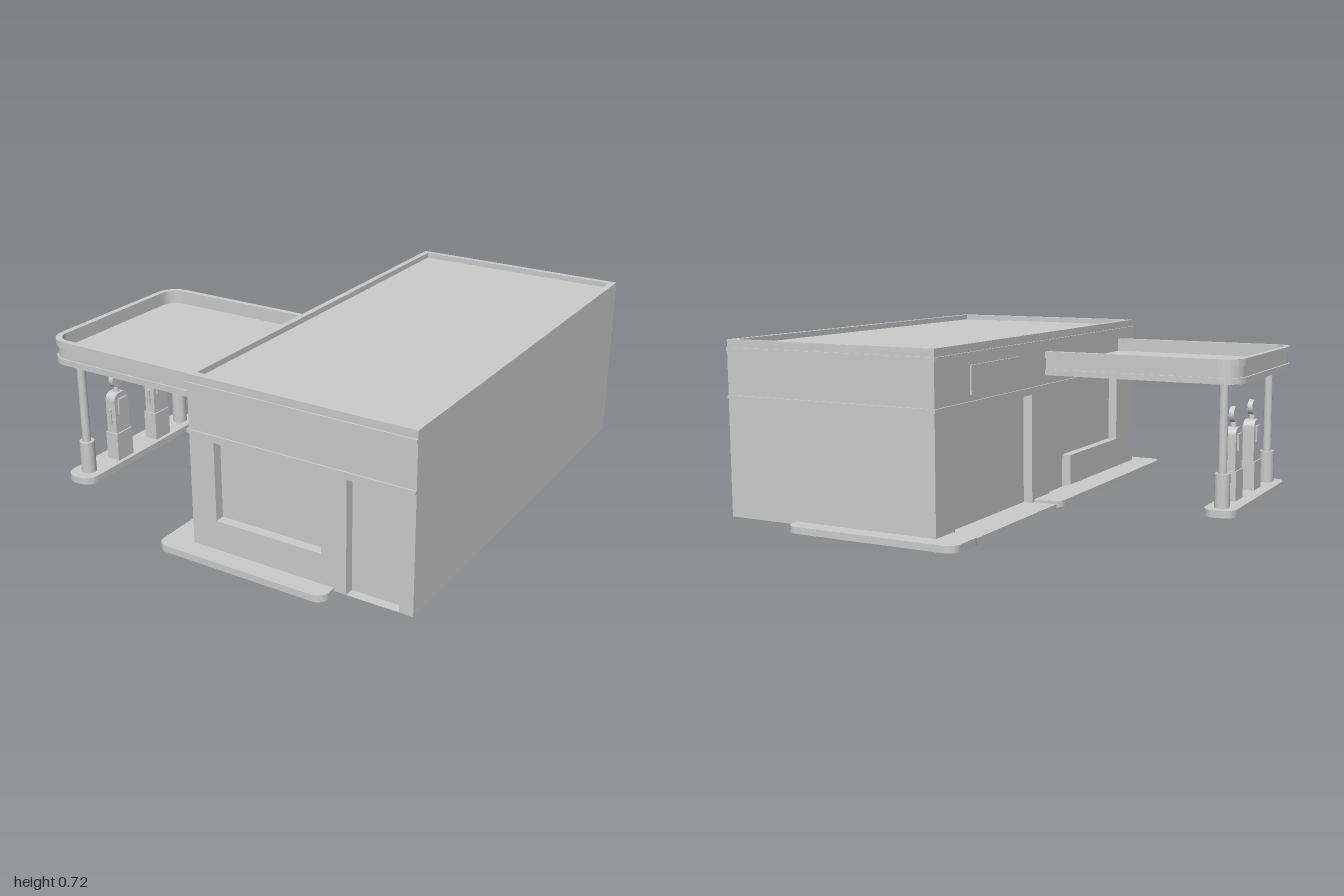
import * as THREE from 'three';

const grey = new THREE.MeshStandardMaterial({ color: 0xcccccc, side: THREE.DoubleSide });

function add(parent, name, geometry, x = 0, y = 0, z = 0) {
  const mesh = new THREE.Mesh(geometry, grey);
  mesh.name = name;
  mesh.position.set(x, y, z);
  parent.add(mesh);
  return mesh;
}

// Closed shape from [a, b, cornerRadius] points
function roundedShape(points) {
  const shape = new THREE.Shape();
  const n = points.length;
  points.forEach(([a, b, r = 0], i) => {
    const p = new THREE.Vector2(a, b);
    const towards = (q) => new THREE.Vector2(q[0], q[1]).sub(p).setLength(r).add(p);
    const start = r ? towards(points[(i + n - 1) % n]) : p;
    if (i === 0) shape.moveTo(start.x, start.y);
    else shape.lineTo(start.x, start.y);
    if (r) {
      const end = towards(points[(i + 1) % n]);
      // cubic approximation of a quarter circle
      const c1 = start.clone().lerp(p, 0.5523), c2 = end.clone().lerp(p, 0.5523);
      shape.bezierCurveTo(c1.x, c1.y, c2.x, c2.y, end.x, end.y);
    }
  });
  shape.closePath();
  return shape;
}

// Horizontal slab whose outline is given in x and z
function slab(points, y0, y1) {
  const g = new THREE.ExtrudeGeometry(roundedShape(points), { depth: y1 - y0, bevelEnabled: false, curveSegments: 8 });
  return g.rotateX(Math.PI / 2).translate(0, y1, 0);
}

// U-shaped outline, open towards +x
function uOutline(x0, x1, z0, z1, t, r = 0) {
  const ri = Math.max(r - t, 0);
  return [[x1, z0], [x0, z0, r], [x0, z1, r], [x1, z1],
    [x1, z1 - t], [x0 + t, z1 - t, ri], [x0 + t, z0 + t, ri], [x1, z0 + t]];
}

// Flat wall facing local +z, with openings set back into recesses
const WALL = { bottom: 0.015, top: 0.72 };
const RECESS = 0.04;
function makeWall(name, u0, u1, openings = []) {
  const wall = new THREE.Group();
  wall.name = name;
  const outline = [[u0, WALL.top], [u0, WALL.bottom]];
  const holes = [];
  for (const o of openings) {
    // openings that start and end at floor level notch the bottom edge
    if (o.door) outline.push(...o.points);
    else holes.push(new THREE.Path(o.points.map(([a, b]) => new THREE.Vector2(a, b))));
  }
  outline.push([u1, WALL.bottom], [u1, WALL.top]);
  const shape = roundedShape(outline);
  shape.holes = holes;
  add(wall, name + 'Surface', new THREE.ShapeGeometry(shape));
  for (const o of openings) {
    add(wall, o.name, new THREE.ShapeGeometry(roundedShape(o.points)), 0, 0, -RECESS);
    const pos = [];
    o.points.forEach(([a, b], i) => {
      const [c, d] = o.points[(i + 1) % o.points.length];
      pos.push(a, b, 0, c, d, 0, c, d, -RECESS, a, b, 0, c, d, -RECESS, a, b, -RECESS);
    });
    const jamb = new THREE.BufferGeometry();
    jamb.setAttribute('position', new THREE.Float32BufferAttribute(pos, 3));
    jamb.computeVertexNormals();
    add(wall, o.name + 'Jamb', jamb);
  }
  return wall;
}

const rect = (a0, a1, b0, b1) => [[a0, b0], [a0, b1], [a1, b1], [a1, b0]];

function makeBuilding() {
  const b = new THREE.Group();
  b.name = 'building';
  const X0 = -0.05, X1 = 0.895, Z0 = -0.925, Z1 = 0.92, f = WALL.bottom;

  const front = makeWall('frontWall', X0, X1, [
    { name: 'frontWindow', points: rect(0.06, 0.52, 0.15, 0.47) },
    { name: 'frontDoor', door: true, points: rect(0.625, 0.84, f, 0.47) },
  ]);
  front.position.z = Z1;

  const side = makeWall('forecourtWall', Z0, Z1, [
    { name: 'garageDoor', door: true, points: rect(-0.79, -0.16, f, 0.47) },
    { name: 'shopDoorAndWindow', door: true,
      points: [[0, f], [0, 0.47], [0.72, 0.47], [0.72, 0.16], [0.21, 0.16], [0.21, f]] },
  ]);
  side.rotation.y = -Math.PI / 2;
  side.position.x = X0;

  const back = makeWall('backWall', -X1, -X0);
  back.rotation.y = Math.PI;
  back.position.z = Z0;

  const blank = makeWall('blankWall', -Z1, -Z0);
  blank.rotation.y = Math.PI / 2;
  blank.position.x = X1;
  b.add(front, side, back, blank);

  // Parapet rim around a sunken roof
  const rim = roundedShape(rect(X0, X1, Z0, Z1));
  rim.holes.push(roundedShape(rect(X0 + 0.025, X1 - 0.025, Z0 + 0.025, Z1 - 0.03)));
  const rimGeo = new THREE.ExtrudeGeometry(rim, { depth: 0.03, bevelEnabled: false });
  add(b, 'parapet', rimGeo.rotateX(Math.PI / 2), 0, WALL.top, 0);
  add(b, 'roof', slab(rect(X0 + 0.01, X1 - 0.01, Z0 + 0.01, Z1 - 0.01), 0.69, 0.697));

  // Thin trim lines on three sides
  for (const y of [0.495, 0.682])
    add(b, 'trimLine', slab(uOutline(X0 - 0.007, X1, Z0 - 0.007, Z1 + 0.007, 0.009), y - 0.007, y + 0.007));

  add(b, 'garageSignPanel', new THREE.BoxGeometry(0.008, 0.113, 0.39), X0 - 0.003, 0.583, -0.475);
  return b;
}

function makePavement() {
  const g = new THREE.Group();
  g.name = 'pavement';
  const xo = -0.17, xi = -0.045, xe = 0.575, r = 0.045;
  add(g, 'frontSidewalk', slab([[xi, -0.14], [xo, -0.14, r], [xo, 1, r], [xe, 1, r], [xe, 0.915], [xi, 0.915]], 0, 0.027));
  add(g, 'backSidewalk', slab([[xi, -0.805], [xo, -0.805, r], [xo, -1, r], [xe, -1, r], [xe, -0.92], [xi, -0.92]], 0, 0.027));
  add(g, 'garageApron', slab(rect(-0.15, -0.01, -0.81, -0.135), 0.002, 0.014));
  return g;
}

function makeCanopy() {
  const g = new THREE.Group();
  g.name = 'canopy';
  const x1 = -0.03, z0 = -0.04, z1 = 0.76;
  add(g, 'fascia', slab(uOutline(-0.888, x1, z0 + 0.007, z1 - 0.007, 0.018, 0.085), 0.54, 0.64));
  for (const [a, b] of [[0.54, 0.565], [0.612, 0.64]])
    add(g, 'fasciaBand', slab(uOutline(-0.896, x1, z0, z1, 0.015, 0.09), a, b));
  add(g, 'canopyDeck', slab([[x1, z0 + 0.015], [-0.88, z0 + 0.015, 0.075], [-0.88, z1 - 0.015, 0.075], [x1, z1 - 0.015]], 0.546, 0.582));
  add(g, 'canopyLight', new THREE.CylinderGeometry(0.012, 0.008, 0.02, 16), -0.44, 0.538, 0.36);
  return g;
}

function makePump() {
  const g = new THREE.Group();
  g.name = 'pump';
  // Upright cabinet with rounded shoulders, profile in z and y
  const body = roundedShape([[-0.043, 0.03], [0.043, 0.03], [0.043, 0.335, 0.03], [-0.043, 0.335, 0.03]]);
  const bodyGeo = new THREE.ExtrudeGeometry(body, { depth: 0.05, bevelEnabled: false, curveSegments: 6 });
  add(g, 'pumpCabinet', bodyGeo.rotateY(-Math.PI / 2), 0.025, 0, 0);
  add(g, 'pumpBase', new THREE.BoxGeometry(0.062, 0.13, 0.096), 0, 0.09, 0);
  add(g, 'dial', new THREE.BoxGeometry(0.066, 0.07, 0.05), 0, 0.275, 0);
  add(g, 'nozzle', new THREE.CylinderGeometry(0.006, 0.006, 0.07, 8), 0, 0.23, 0.048);
  add(g, 'globeNeck', new THREE.CylinderGeometry(0.01, 0.014, 0.03, 12), 0, 0.345, 0);
  add(g, 'globe', new THREE.CylinderGeometry(0.033, 0.033, 0.022, 24).rotateZ(Math.PI / 2), 0, 0.388, 0);
  return g;
}

function makeIsland() {
  const g = new THREE.Group();
  g.name = 'pumpIsland';
  const x0 = -0.875, x1 = -0.74, z0 = -0.02, z1 = 0.745, r = 0.055;
  add(g, 'islandKerb', slab([[x0, z0, r], [x0, z1, r], [x1, z1, r], [x1, z0, r]], 0, 0.03));
  for (const z of [0.05, 0.67]) {
    add(g, 'columnBase', new THREE.CylinderGeometry(0.032, 0.032, 0.14, 20), -0.806, 0.1, z);
    add(g, 'column', new THREE.CylinderGeometry(0.018, 0.018, 0.52, 20), -0.806, 0.29, z);
  }
  for (const z of [0.23, 0.485]) {
    const pump = makePump();
    pump.position.set(-0.79, 0, z);
    g.add(pump);
  }
  return g;
}

export function createModel() {
  const model = new THREE.Group();
  model.name = 'fillingStation';
  model.add(makeBuilding(), makePavement(), makeCanopy(), makeIsland());
  return model;
}
